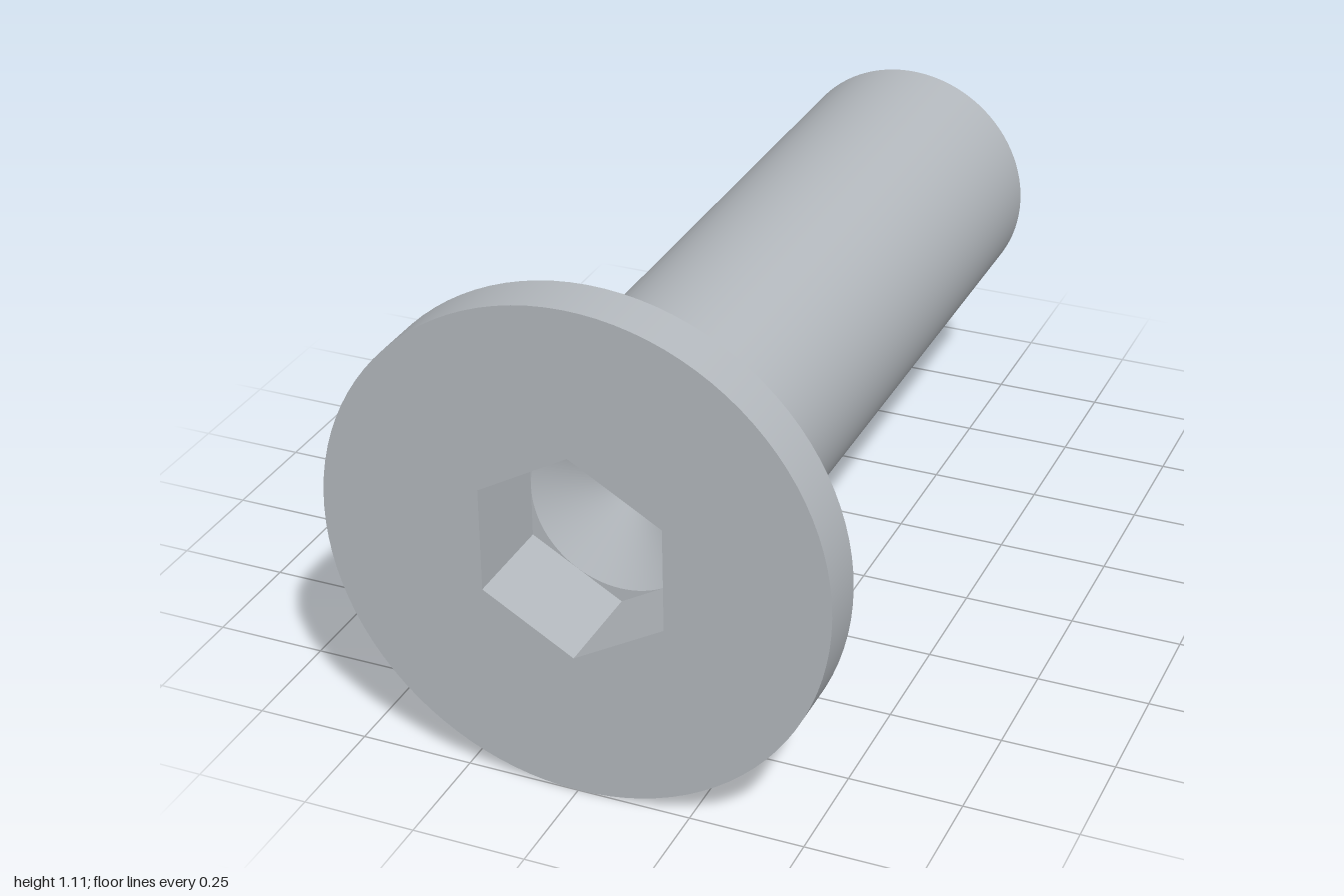
import * as THREE from 'three';

const SEGMENTS = 96;
const CENTRE_Y = 0.555;
const HEAD_R = 0.555, SHANK_R = 0.297, TIP_R = 0.242;
const HEX_R = 0.231, HEX_IN = 0.2;          // socket corner and flat radii
const SOCKET_Z = 0.77, CONE_Z = 0.655;      // socket floor and drill point

const steel = new THREE.MeshStandardMaterial({ color: 0xb4b9be });
steel.name = 'steel';

// Turned surface about z; each point is [radius, z], walked from back to front for outward faces
function turned(name, points, segments = SEGMENTS) {
  const profile = points.map(([r, z]) => new THREE.Vector2(r, z));
  let geometry = new THREE.LatheGeometry(profile, segments).rotateX(Math.PI / 2);
  if (segments === 6) {
    geometry = geometry.toNonIndexed();
    geometry.computeVertexNormals();
  }
  const mesh = new THREE.Mesh(geometry, steel);
  mesh.name = name;
  return mesh;
}

// Flat plate facing +z with a hole
function plate(name, outline, hole, z) {
  const shape = new THREE.Shape(outline);
  shape.holes.push(new THREE.Path(hole));
  const mesh = new THREE.Mesh(new THREE.ShapeGeometry(shape), steel);
  mesh.name = name;
  mesh.position.z = z;
  return mesh;
}

// Regular polygon with a corner at the bottom
function ring(radius, count) {
  return Array.from({ length: count }, (_, i) => {
    const a = -Math.PI / 2 + (i / count) * Math.PI * 2;
    return new THREE.Vector2(radius * Math.cos(a), radius * Math.sin(a));
  });
}

export function createModel() {
  const screw = new THREE.Group();
  screw.name = 'countersunkScrew';

  // Shank with chamfered tip
  screw.add(
    turned('tipFace', [[0, -1], [TIP_R, -1]]),
    turned('tipChamfer', [[TIP_R, -1], [SHANK_R, -0.945]]),
    turned('shank', [[SHANK_R, -0.945], [SHANK_R, 0.627]]),
  );

  // Countersunk head
  screw.add(
    turned('headCone', [[SHANK_R, 0.627], [HEAD_R, 0.885]]),
    turned('headRim', [[HEAD_R, 0.885], [HEAD_R, 1]]),
    plate('headFace', ring(HEAD_R, SEGMENTS), ring(HEX_R, 6), 1),
  );

  // Hexagonal socket with a conical bottom
  screw.add(
    turned('socketWalls', [[HEX_R, 1], [HEX_R, SOCKET_Z]], 6),
    plate('socketFloor', ring(HEX_R, 6), ring(HEX_IN * 0.999, SEGMENTS), SOCKET_Z),
    turned('socketCone', [[HEX_IN, SOCKET_Z], [0, CONE_Z]]),
  );

  screw.position.y = CENTRE_Y;
  const model = new THREE.Group();
  model.name = 'model';
  model.add(screw);
  return model;
}
